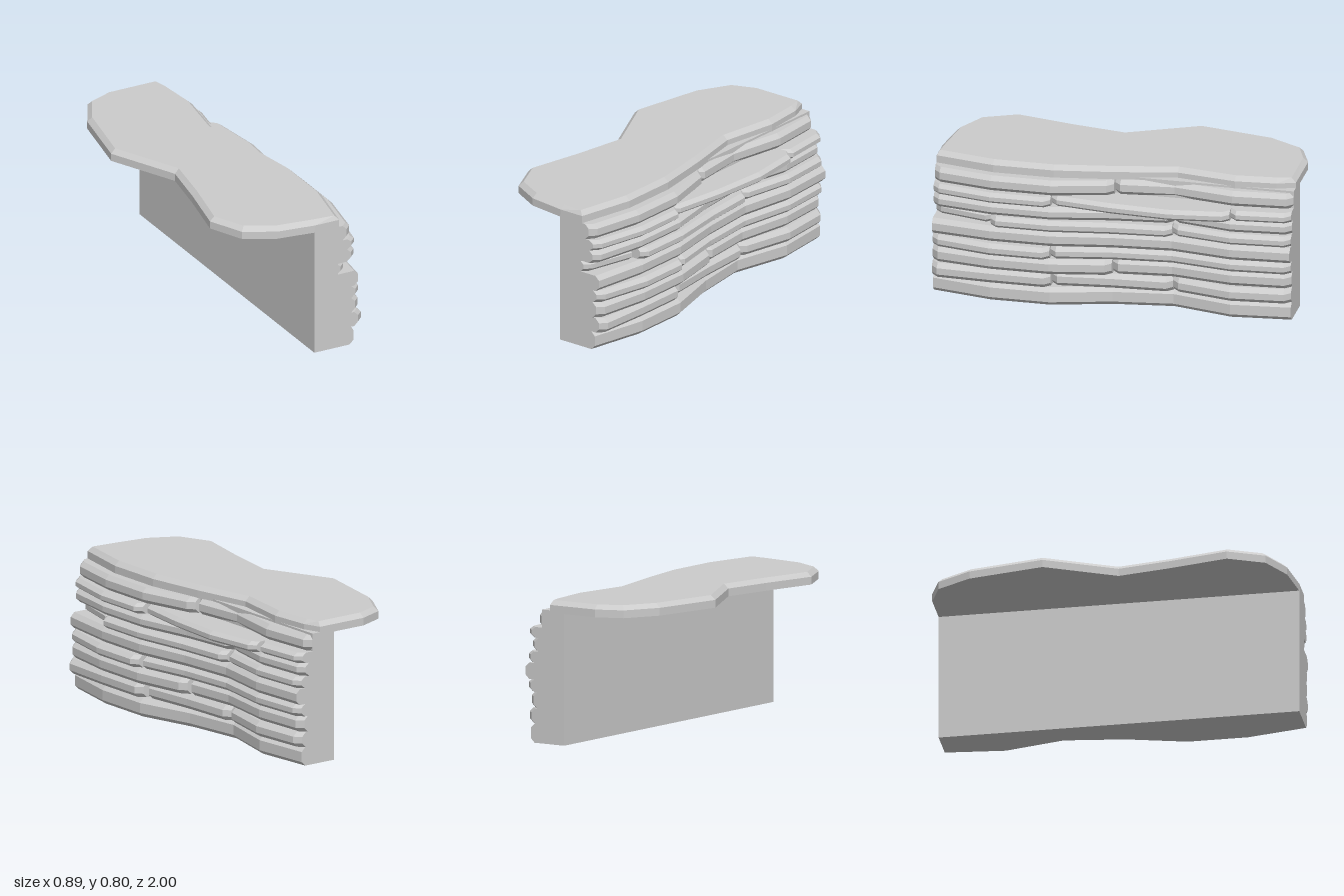
import * as THREE from 'three';

const material = new THREE.MeshStandardMaterial({ color: 0xcccccc, flatShading: true });

// Joins counter-clockwise rings of [a, b] into a closed solid; place(a, b, c) maps to 3D.
function loft(rings, levels, place) {
  const pos = [];
  const n = rings[0].length;
  const put = (r, i) => pos.push(...place(rings[r][i % n][0], rings[r][i % n][1], levels[r]));
  const last = rings.length - 1;
  for (let r = 0; r < last; r++) {
    for (let i = 0; i < n; i++) {
      put(r, i); put(r, i + 1); put(r + 1, i + 1);
      put(r, i); put(r + 1, i + 1); put(r + 1, i);
    }
  }
  for (const r of [0, last]) {
    const contour = rings[r].map(([a, b]) => new THREE.Vector2(a, b));
    for (const t of THREE.ShapeUtils.triangulateShape(contour, [])) {
      (r === last ? t : [t[0], t[2], t[1]]).forEach((i) => put(r, i));
    }
  }
  const g = new THREE.BufferGeometry();
  g.setAttribute('position', new THREE.Float32BufferAttribute(pos, 3));
  g.computeVertexNormals();
  return g;
}

function add(parent, geometry, name) {
  const mesh = new THREE.Mesh(geometry, material);
  mesh.name = name;
  parent.add(mesh);
  return mesh;
}

// Moves every corner of a counter-clockwise outline inwards.
function inset(outline, d) {
  const n = outline.length;
  return outline.map(([a, b], i) => {
    const p = outline[(i + n - 1) % n], q = outline[(i + 1) % n];
    const da = q[0] - p[0], db = q[1] - p[1], l = Math.hypot(da, db);
    return [a - (db / l) * d, b + (da / l) * d];
  });
}

// Shared undulation of the cliff at seven even steps from front to back.
const WAVE = [-0.06, 0, 0, -0.08, -0.12, -0.05, -0.08];

// A rock block following the wave, chamfered on its outer edges and optionally its ends.
function blockGeometry(y0, y1, [from, to, reach, waviness], chamferEnds) {
  const stations = [];
  for (let i = to; i >= from; i--) {
    const z = 1 - i / 3, x = reach + waviness * WAVE[i];
    if (chamferEnds && i === to) stations.push([z, x - 0.035], [z + 0.035, x]);
    else if (chamferEnds && i === from) stations.push([z - 0.035, x], [z, x - 0.035]);
    else stations.push([z, x]);
  }
  const bx = 0.025, by = Math.min(0.024, (y1 - y0) * 0.3);
  const rings = stations.map(([, x]) => [
    [0.2, y0], [x - bx, y0], [x, y0 + by], [x, y1 - by], [x - bx, y1], [0.2, y1],
  ]);
  return loft(rings, stations.map(([z]) => z), (x, y, z) => [x, y, z]);
}

// Bands from bottom to top: upper height, then blocks of [first step, last step, reach, waviness].
const BANDS = [
  { top: 0.105, blocks: [[0, 6, 0.405, 1.1]] },
  { top: 0.19, blocks: [[0, 2, 0.415, 0.2], [2, 4, 0.37, 0.4], [4, 6, 0.42, 0.9]] },
  { top: 0.28, blocks: [[0, 3, 0.425, 0.7], [3, 6, 0.39, 0.7]] },
  { top: 0.35, blocks: [[0, 2, 0.445, 1], [2, 6, 0.41, 0.7]] },
  { top: 0.44, blocks: [[0, 6, 0.41, 0.7]] },
  { top: 0.505, blocks: [[0, 1, 0.36, 1.1], [1, 4, 0.425, 0.6], [4, 6, 0.41, 0.7]] },
  { top: 0.58, blocks: [[0, 4, 0.405, 0.8], [4, 6, 0.39, 0.8]] },
  { top: 0.64, blocks: [[0, 2, 0.42, 1], [2, 5, 0.38, -0.5], [5, 6, 0.41, 0.8]] },
  { top: 0.728, blocks: [[0, 3, 0.385, 0.9], [3, 6, 0.345, 0.8]] },
];

// Overhanging ledge outline as [z, x].
const LEDGE = [
  [1, 0.25], [0.67, 0.317], [0.33, 0.317], [0, 0.265], [-0.34, 0.195], [-0.67, 0.245],
  [-0.9, 0.225], [-1, 0.19], [-1, -0.11], [-0.94, -0.26], [-0.75, -0.365], [-0.33, -0.445],
  [0.06, -0.26], [0.35, -0.31], [0.68, -0.38], [0.88, -0.29], [0.97, -0.12], [1, 0.1],
];

export function createModel() {
  const model = new THREE.Group();
  model.name = 'rockLedge';

  // Flat backing wall
  const wall = add(model, new THREE.BoxGeometry(0.147, 0.74, 2), 'backingWall');
  wall.position.set(0.1685, 0.37, 0);

  // Overhanging top with a chamfered rim
  const rim = inset(LEDGE, 0.027);
  add(model, loft([LEDGE, LEDGE, rim], [0.727, 0.77, 0.795], (z, x, y) => [x, y, z]), 'topLedge');

  // Stacked rock bands on the cliff face
  const cliff = new THREE.Group();
  cliff.name = 'cliffFace';
  model.add(cliff);
  BANDS.forEach(({ top, blocks }, i) => {
    const band = new THREE.Group();
    band.name = `rockBand${i + 1}`;
    cliff.add(band);
    const bottom = i ? BANDS[i - 1].top : 0;
    blocks.forEach((block, j) => {
      add(band, blockGeometry(bottom, top, block, blocks.length > 1), `rockBlock${j + 1}`);
    });
  });
  return model;
}
